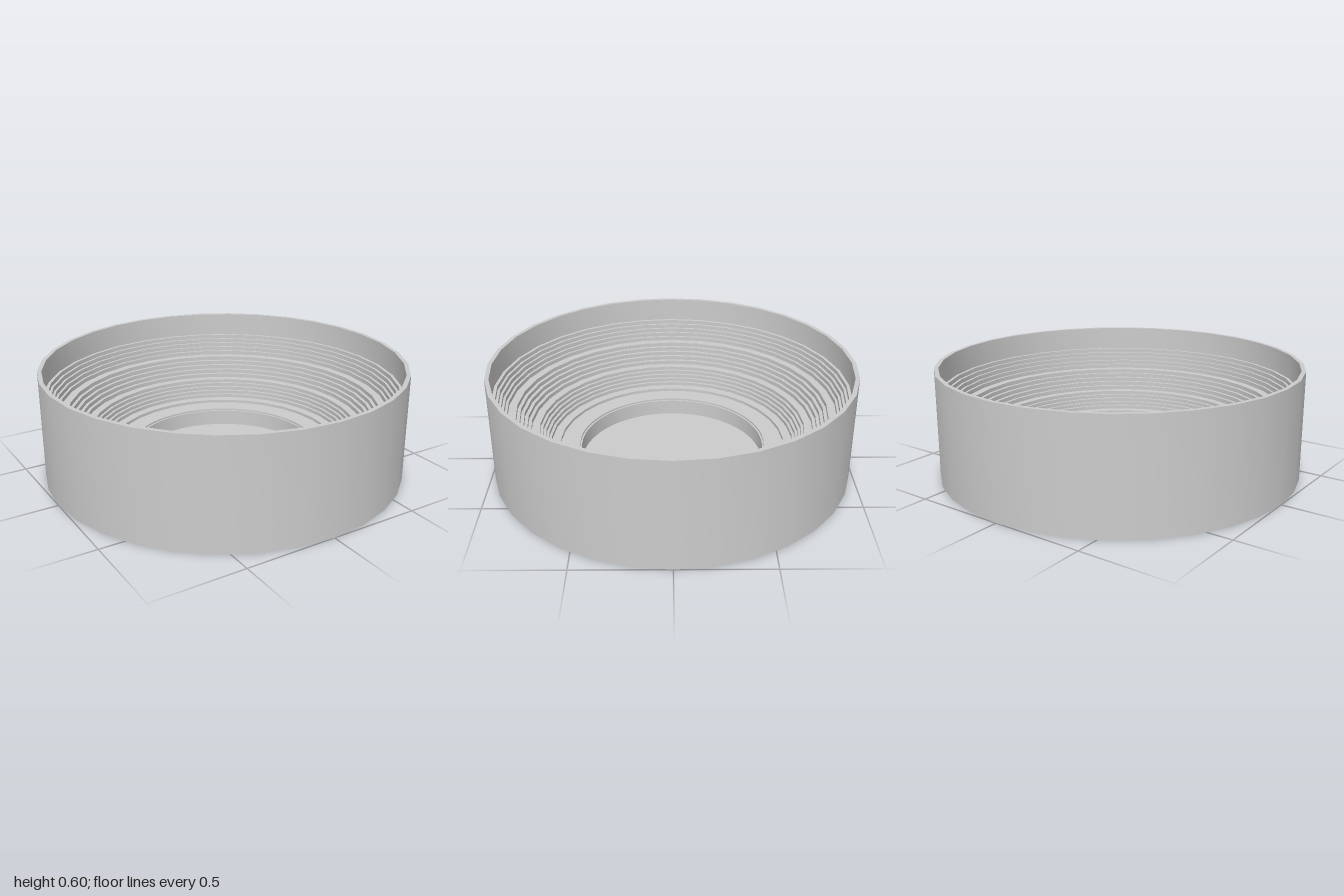
import * as THREE from 'three';
import { toCreasedNormals } from 'three/addons/utils/BufferGeometryUtils.js';

const material = new THREE.MeshStandardMaterial({ color: 0xcccccc, side: THREE.DoubleSide });

// Turned part with smooth sides and sharp rims
function turned(name, profile, segments) {
  const points = profile.map(([r, y]) => new THREE.Vector2(r, y));
  const geometry = toCreasedNormals(new THREE.LatheGeometry(points, segments), 0.5);
  const mesh = new THREE.Mesh(geometry, material);
  mesh.name = name;
  return mesh;
}

// Flight of steps going inward and down; starts and ends with a riser
function flight(rOuter, yTop, rInner, yBottom, risers) {
  const points = [];
  for (let i = 0; i < risers; i++) {
    const r = THREE.MathUtils.lerp(rOuter, rInner, i / (risers - 1));
    points.push([r, THREE.MathUtils.lerp(yTop, yBottom, i / risers)]);
    points.push([r, THREE.MathUtils.lerp(yTop, yBottom, (i + 1) / risers)]);
  }
  return points;
}

export function createModel() {
  const group = new THREE.Group();
  group.name = 'arena';

  // Base, outer wall, rim and upper inner wall
  group.add(turned('outerWall', [[0, 0], [1, 0], [1, 0.6], [0.977, 0.6], [0.977, 0.465]], 32));

  // Three flights of seating steps separated by flat walkways
  group.add(turned('seating', [
    [0.977, 0.465],
    ...flight(0.96, 0.465, 0.905, 0.348, 5),
    ...flight(0.86, 0.348, 0.785, 0.232, 5),
    ...flight(0.74, 0.232, 0.68, 0.132, 5),
    [0.63, 0.132], [0.63, 0.112],
  ], 32));

  // Ledge, sunken pit wall and pit floor
  group.add(turned('pit', [
    [0.66, 0.115], [0.522, 0.115], [0.522, 0.105], [0.512, 0.105], [0.512, 0.015], [0, 0.015],
  ], 64));

  return group;
}
